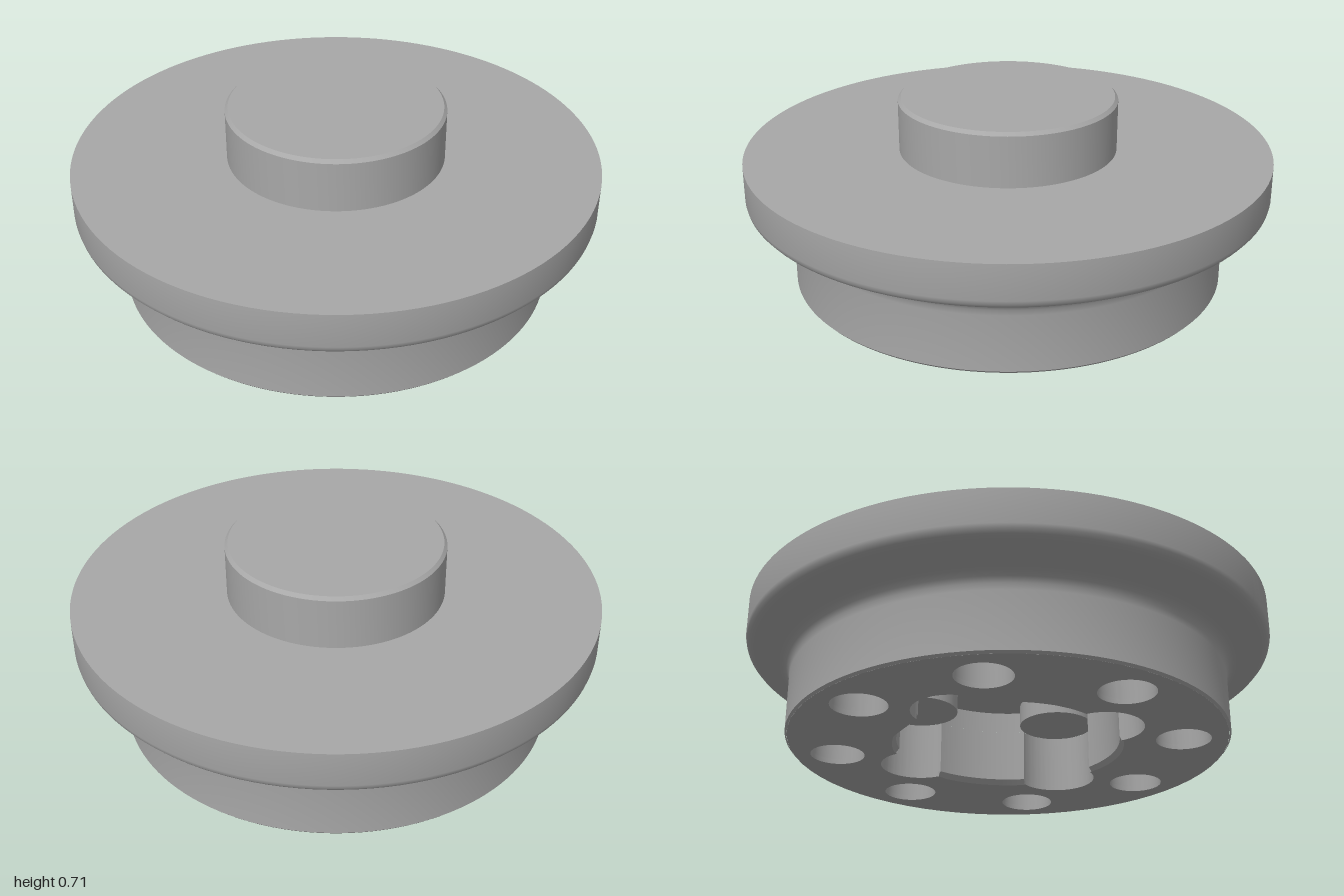
import * as THREE from 'three';
import { toCreasedNormals } from 'three/addons/utils/BufferGeometryUtils.js';

const CREASE = 0.5;
const RECESS_R = 0.42, LOBE_R = 0.147, LOBE_C = 0.4;   // central recess and its four lobes
const HOLE_R = 0.103, HOLE_C = 0.656;                  // ring of eight blind holes
const LOBE_Y = 0.226, CEILING_Y = 0.31, RIM_Y = 0.02, BASE_R = 0.822;
const rad = THREE.MathUtils.degToRad;
const HOLE_START = rad(5), LOBE_START = rad(72.5);

// Base disc outline with the lobed recess and the ring of holes cut out
function undersideShape() {
  const shape = new THREE.Shape();
  shape.absarc(0, 0, BASE_R, 0, Math.PI * 2);
  const a = Math.acos((RECESS_R ** 2 + LOBE_C ** 2 - LOBE_R ** 2) / (2 * RECESS_R * LOBE_C));
  const b = Math.atan2(RECESS_R * Math.sin(a), RECESS_R * Math.cos(a) - LOBE_C);
  const recess = new THREE.Path();
  for (let k = 0; k < 4; k++) {
    const t = LOBE_START + k * Math.PI / 2;
    recess.absarc(LOBE_C * Math.cos(t), LOBE_C * Math.sin(t), LOBE_R, t - b, t + b);
    recess.absarc(0, 0, RECESS_R, t + a, t + Math.PI / 2 - a);
  }
  shape.holes.push(recess);
  for (let k = 0; k < 8; k++) {
    const t = HOLE_START + k * Math.PI / 4;
    const hole = new THREE.Path();
    hole.absarc(HOLE_C * Math.cos(t), HOLE_C * Math.sin(t), HOLE_R, 0, Math.PI * 2);
    shape.holes.push(hole);
  }
  return shape;
}

// Horizontal slab of the underside between two heights
function slab(y0, y1) {
  const g = new THREE.ExtrudeGeometry(undersideShape(), { depth: y1 - y0, bevelEnabled: false, curveSegments: 32 });
  return g.rotateX(Math.PI / 2).translate(0, y1, 0);
}

export function createModel() {
  const group = new THREE.Group();
  const grey = new THREE.MeshStandardMaterial({ color: 0xa8a8a8 });
  grey.name = 'grey';
  const greyInside = grey.clone();
  greyInside.side = THREE.BackSide;

  const add = (name, geometry, material = grey) => {
    const mesh = new THREE.Mesh(geometry, material);
    mesh.name = name;
    group.add(mesh);
    return mesh;
  };

  // Outer skin: base wall, fillet, flange and knob
  const profile = [
    [BASE_R, 0], [0.83, 0.009], [0.83, 0.225], [0.834, 0.248], [0.844, 0.268], [0.861, 0.283],
    [0.885, 0.295], [0.965, 0.331], [0.985, 0.343], [0.996, 0.356], [1, 0.372], [1, 0.503],
    [0.415, 0.503], [0.415, 0.698], [0.403, 0.711], [0, 0.711],
  ].map(([x, y]) => new THREE.Vector2(x, y));
  add('bodyAndKnob', toCreasedNormals(new THREE.LatheGeometry(profile, 128), CREASE));

  // Underside with chamfered recess edge
  const rim = slab(0, RIM_Y);
  const p = rim.attributes.position;
  for (let i = 0; i < p.count; i++) {
    const r = Math.hypot(p.getX(i), p.getZ(i));
    if (p.getY(i) < 0.001 && Math.abs(r - RECESS_R) < 0.0005) {
      const s = 0.435 / r;
      p.setXYZ(i, p.getX(i) * s, 0, p.getZ(i) * s);
    }
  }
  add('undersideRim', toCreasedNormals(rim, CREASE));
  add('undersideCore', toCreasedNormals(slab(RIM_Y, LOBE_Y), CREASE));

  // Upper part of the central recess
  const wall = new THREE.CylinderGeometry(RECESS_R, RECESS_R, CEILING_Y - LOBE_Y, 96, 1, true);
  add('recessWall', wall.translate(0, (CEILING_Y + LOBE_Y) / 2, 0), greyInside);
  add('recessCeiling', new THREE.CircleGeometry(RECESS_R, 96).rotateX(Math.PI / 2).translate(0, CEILING_Y, 0));

  // Short posts closing the four lobes
  const post = new THREE.CylinderGeometry(LOBE_R, LOBE_R, CEILING_Y - LOBE_Y, 48);
  for (let k = 0; k < 4; k++) {
    const t = LOBE_START + k * Math.PI / 2;
    add('recessPost', post).position.set(LOBE_C * Math.cos(t), (CEILING_Y + LOBE_Y) / 2, LOBE_C * Math.sin(t));
  }

  // Bottoms of the blind holes
  const cap = new THREE.CircleGeometry(HOLE_R + 0.002, 48).rotateX(Math.PI / 2);
  for (let k = 0; k < 8; k++) {
    const t = HOLE_START + k * Math.PI / 4;
    add('holeBottom', cap).position.set(HOLE_C * Math.cos(t), LOBE_Y, HOLE_C * Math.sin(t));
  }
  return group;
}
